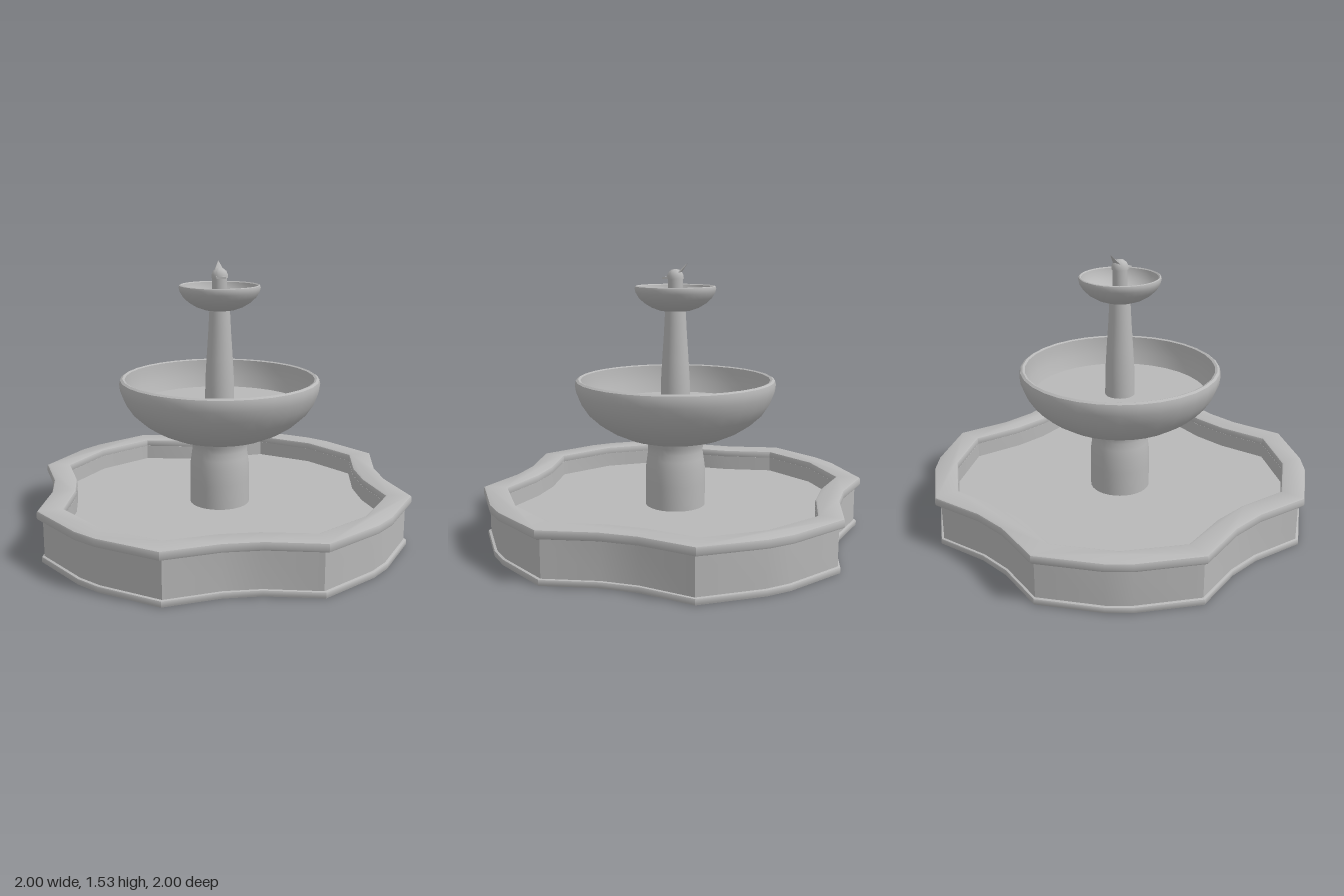
import * as THREE from 'three';
import { toCreasedNormals } from 'three/addons/utils/BufferGeometryUtils.js';

const stone = new THREE.MeshStandardMaterial({ color: 0xb8b8b8, side: THREE.DoubleSide });
stone.name = 'grey stone';

// One quarter of each basin outline, repeated by quarter turns
const OUTER = [[1, 0.4], [0.8, 0.7], [0.7, 0.8], [0.4, 1], [0.1, 0.94], [-0.1, 0.94]];
const INNER = [[0.86, 0.38], [0.665, 0.665], [0.38, 0.86], [0.1, 0.81], [-0.1, 0.81]];

function outline(quarter, scale = 1) {
  const points = [];
  for (let turn = 0; turn < 4; turn++) {
    for (const [x, y] of quarter) {
      const p = new THREE.Vector2(x, y).multiplyScalar(scale);
      points.push(p.rotateAround(new THREE.Vector2(), turn * Math.PI / 2));
    }
  }
  // Each quarter ends at the mirrored start of the next one
  return points;
}

function part(name, geometry, crease = 0.6) {
  const mesh = new THREE.Mesh(toCreasedNormals(geometry, crease), stone);
  mesh.name = name;
  return mesh;
}

// Flat slab between two heights, optionally hollow, with a small rounded edge
function slab(name, outer, y0, y1, hole, bevel = 0) {
  const shape = new THREE.Shape(outer);
  if (hole) shape.holes.push(new THREE.Path(hole));
  const geometry = new THREE.ExtrudeGeometry(shape, {
    depth: y1 - y0 - 2 * bevel, bevelEnabled: bevel > 0, bevelSize: bevel,
    bevelThickness: bevel, bevelOffset: -bevel, bevelSegments: 2,
  });
  geometry.rotateX(-Math.PI / 2).translate(0, y0 + bevel, 0);
  return part(name, geometry);
}

function turned(name, profile, segments = 32) {
  return part(name, new THREE.LatheGeometry(profile.map(([r, y]) => new THREE.Vector2(r, y)), segments));
}

export function createModel() {
  const group = new THREE.Group();
  group.name = 'fountain';

  // Scalloped pool
  group.add(
    slab('plinth', outline(OUTER, 0.985), 0, 0.035, null, 0.008),
    slab('poolWall', outline(OUTER, 0.97), 0.03, 0.25, outline(INNER)),
    slab('poolRim', outline(OUTER), 0.24, 0.29, outline(INNER), 0.012),
    slab('poolWater', outline(INNER, 1.02), 0.15, 0.165),
  );

  // Lower column and large bowl
  group.add(
    turned('lowerColumn', [[0.168, 0.16], [0.168, 0.3], [0.167, 0.39], [0.16, 0.44],
      [0.154, 0.48], [0.156, 0.51], [0.168, 0.545]]),
    turned('largeBowl', [[0, 0.545], [0.21, 0.545], [0.28, 0.564], [0.36, 0.6], [0.43, 0.645],
      [0.49, 0.7], [0.53, 0.76], [0.553, 0.82], [0.558, 0.86], [0.553, 0.882], [0.54, 0.89],
      [0.527, 0.885], [0.524, 0.85], [0.514, 0.79], [0.492, 0.725]]),
    turned('bowlWater', [[0.494, 0.725], [0, 0.725]]),
  );

  // Upper column and small open bowl
  group.add(
    turned('upperColumn', [[0.083, 0.72], [0.08, 0.88], [0.073, 1.0], [0.064, 1.13], [0.056, 1.28]], 24),
    turned('smallBowl', [[0, 1.265], [0.085, 1.265], [0.13, 1.281], [0.17, 1.305], [0.2, 1.333],
      [0.218, 1.363], [0.224, 1.385], [0.221, 1.397], [0.215, 1.4], [0.208, 1.395], [0.203, 1.375],
      [0.185, 1.343], [0.155, 1.316], [0.11, 1.295], [0.06, 1.285], [0, 1.283]]),
  );

  // Small spout: stem, domed head, flat lip and raised pointed crest
  group.add(
    turned('spoutStem', [[0.041, 1.28], [0.041, 1.44]], 20),
    turned('spoutDome', [[0, 1.438], [0.046, 1.438], [0.045, 1.455], [0.036, 1.475],
      [0.02, 1.487], [0, 1.491]], 20),
  );
  const lip = part('spoutLip', new THREE.BoxGeometry(0.05, 0.009, 0.04));
  lip.position.set(0, 1.442, 0.048);
  const crest = part('spoutCrest', new THREE.ConeGeometry(0.042, 0.105, 12));
  crest.scale.z = 0.25;
  crest.rotation.x = -0.72;
  crest.position.set(0, 1.486, -0.037);
  group.add(lip, crest);
  return group;
}
